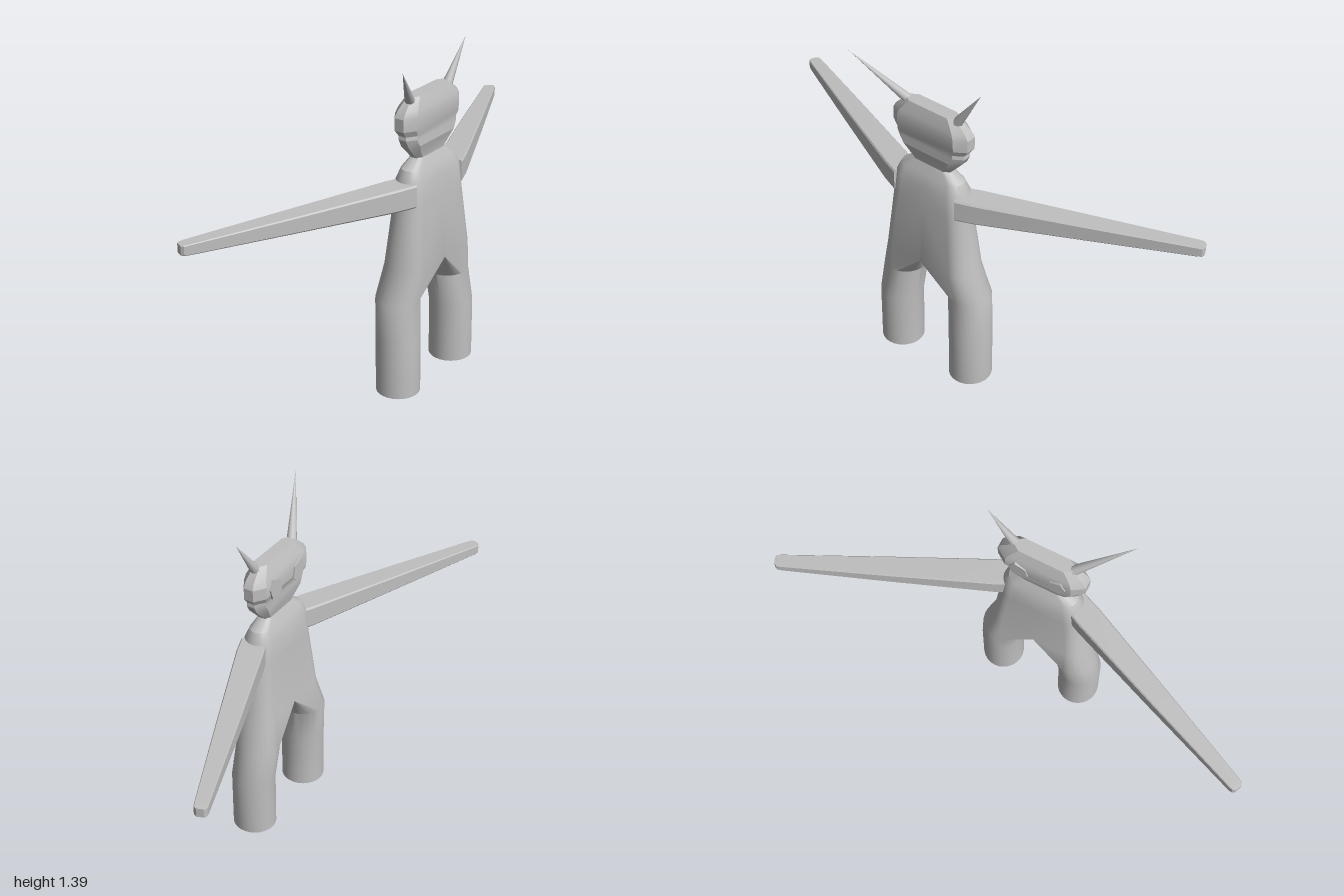
import * as THREE from 'three';
import { toCreasedNormals } from 'three/addons/utils/BufferGeometryUtils.js';

const grey = new THREE.MeshStandardMaterial({ color: 0xbfbfbf });
grey.name = 'plain grey';
const V = (x, y, z) => new THREE.Vector3(x, y, z);

// Skin closed rings of points, with fan caps; faces are turned outwards by signed volume
function loft(rings, crease) {
  const tris = [], n = rings[0].length;
  const add = (a, b, c) => {
    if (b.clone().sub(a).cross(c.clone().sub(a)).length() > 1e-9) tris.push([a, b, c]);
  };
  for (let i = 0; i + 1 < rings.length; i++) {
    for (let j = 0; j < n; j++) {
      const k = (j + 1) % n, p = rings[i], q = rings[i + 1];
      add(p[j], p[k], q[k]);
      add(p[j], q[k], q[j]);
    }
  }
  const last = rings[rings.length - 1];
  for (let j = 1; j + 1 < n; j++) {
    add(rings[0][0], rings[0][j + 1], rings[0][j]);
    add(last[0], last[j], last[j + 1]);
  }
  let volume = 0;
  for (const [a, b, c] of tris) volume += a.dot(b.clone().cross(c));
  const pos = [];
  for (const [a, b, c] of tris) {
    for (const v of volume < 0 ? [a, c, b] : [a, b, c]) pos.push(v.x, v.y, v.z);
  }
  const g = new THREE.BufferGeometry();
  g.setAttribute('position', new THREE.Float32BufferAttribute(pos, 3));
  return toCreasedNormals(g, crease);
}

// One side of the body: round leg rings that open into half-torso rings at the crotch.
// [y, centre x, radius x, centre z, radius z, torso?]
const BODY = [
  [0, 0.127, 0.09, 0.183, 0.088, false],
  [0.25, 0.127, 0.09, 0.183, 0.088, false],
  [0.40, 0.114, 0.089, 0.167, 0.088, false],
  [0.54, 0.133, 0.087, 0.145, 0.065, true],
  [0.80, 0.135, 0.064, 0.12, 0.06, true],
  [0.89, 0.134, 0.059, 0.11, 0.058, true],
  [0.935, 0.133, 0.043, 0.1, 0.045, true],
  [0.975, 0.133, 0.025, 0.06, 0.025, true],
];
function bodyRing([y, cx, rx, cz, rz, torso], s) {
  const ring = [];
  for (let i = 0; i < 26; i++) {
    const a = -Math.PI / 2 + (i / 26) * Math.PI * 2;
    const inner = i > 13;
    if (torso && inner) ring.push(V(cx + rx * (i < 20 ? 1 : -1), y, 0));
    else ring.push(V(cx + rx * Math.sin(a), y, s * (cz + rz * Math.cos(a))));
  }
  return ring;
}

// Arm: chamfered box sections along a slanted line. [t, half width, half height]
const ARM = [
  [-0.06, 0.05, 0.047], [0.03, 0.053, 0.046], [0.5, 0.041, 0.033],
  [0.97, 0.026, 0.021], [0.99, 0.024, 0.02], [1, 0.014, 0.019],
];
function armRing([t, w, h], s) {
  const c = V(0.125, 0.845, 0.18).lerp(V(-0.228, 0.842, 0.995), t);
  return [[1, 0.85], [0.9, 1], [-0.9, 1], [-1, 0.85], [-1, -0.85], [-0.9, -1], [0.9, -1], [1, -0.85]]
    .map(([u, v]) => V(c.x + 0.918 * w * u, c.y + h * v, s * (c.z + 0.397 * w * u)));
}

// Head: long octagons. [y, min x, max x, half z]
const HEAD = [
  [0.965, 0.108, 0.159, 0.085], [0.98, 0.106, 0.16, 0.1], [1.035, 0.09, 0.177, 0.15],
  [1.065, 0.092, 0.175, 0.165], [1.08, 0.09, 0.174, 0.163], [1.105, 0.08, 0.181, 0.182],
  [1.155, 0.079, 0.182, 0.182], [1.18, 0.087, 0.178, 0.168], [1.225, 0.105, 0.162, 0.118],
];
function headRing([y, x0, x1, z]) {
  const c = (x1 - x0) * 0.3, e = z - (x1 - x0) * 0.45;
  return [[x0, e], [x0 + c, z], [x1 - c, z], [x1, e], [x1, -e], [x1 - c, -z], [x0 + c, -z], [x0, -e]]
    .map(([x, w]) => V(x, y, w));
}

// Cone between a base point and a tip
function horn(base, tip, radius) {
  const d = tip.clone().sub(base);
  const g = new THREE.ConeGeometry(radius, d.length(), 8);
  g.translate(0, d.length() / 2, 0);
  g.applyQuaternion(new THREE.Quaternion().setFromUnitVectors(V(0, 1, 0), d.normalize()));
  return g.translate(base.x, base.y, base.z);
}

export function createModel() {
  const model = new THREE.Group();
  model.name = 'hornedFigure';
  const add = (name, geometry) => {
    const m = new THREE.Mesh(geometry, grey);
    m.name = name;
    model.add(m);
    return m;
  };

  for (const [side, s] of [['left', 1], ['right', -1]]) {
    add(side + 'BodyHalfAndLeg', loft(BODY.map((r) => bodyRing(r, s)), 0.45));
    add(side + 'Arm', loft(ARM.map((r) => armRing(r, s)), 0.3));

    // Eye: slanted six-sided plate on the face, which looks along -x
    const eye = [[0.04, 1.1], [0.06, 1.082], [0.1, 1.085], [0.115, 1.13], [0.095, 1.168], [0.05, 1.15]];
    add(side + 'Eye', loft([0.083, 0.074].map((x) => eye.map(([z, y]) => V(x, y, s * z))), 0.3));
  }

  add('head', loft(HEAD.map(headRing), 0.35));

  // The two horns lean differently
  add('leftHorn', horn(V(0.133, 1.205, 0.115), V(0.243, 1.395, 0.313), 0.021));
  add('rightHorn', horn(V(0.137, 1.205, -0.12), V(0.142, 1.372, -0.235), 0.021));
  return model;
}
